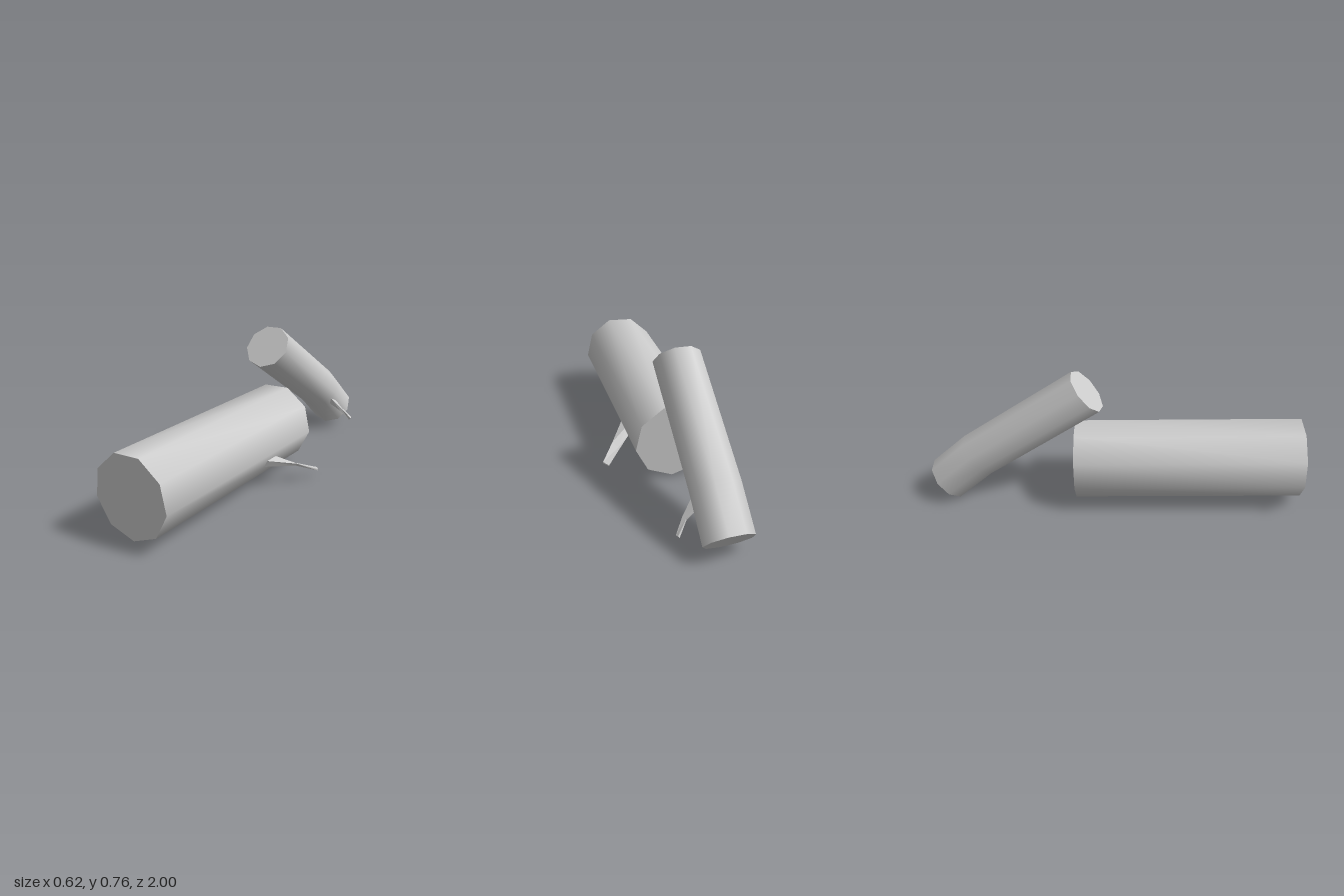
import * as THREE from 'three';

const V = (x, y, z) => new THREE.Vector3(x, y, z);

// Nine-sided rings along a path, all square to the given facing direction
function logRings(centres, facing, radius) {
  const n = facing.clone().normalize();
  const right = V(0, 1, 0).cross(n).normalize();
  const up = n.clone().cross(right);
  return centres.map((c) => Array.from({ length: 9 }, (_, i) => {
    const a = THREE.MathUtils.degToRad(73 - i * 40);
    return c.clone()
      .addScaledVector(right, radius * Math.cos(a))
      .addScaledVector(up, radius * Math.sin(a));
  }));
}

// Skins a list of rings; sides and end caps keep separate vertices
function loft(rings) {
  const n = rings[0].length;
  const last = rings.length - 1;
  const points = rings.flat();
  const index = [];
  for (let r = 0; r < last; r++) {
    for (let i = 0; i < n; i++) {
      const a = r * n + i, b = r * n + (i + 1) % n;
      index.push(a, b, b + n, a, b + n, a + n);
    }
  }
  const start = points.length;
  points.push(...rings[0], ...rings[last]);
  for (let i = 1; i < n - 1; i++) {
    index.push(start, start + i + 1, start + i);
    index.push(start + n, start + n + i, start + n + i + 1);
  }
  const geometry = new THREE.BufferGeometry().setFromPoints(points);
  geometry.setIndex(index);
  geometry.computeVertexNormals();
  return geometry;
}

function addPart(group, name, rings, flatShading) {
  const material = new THREE.MeshStandardMaterial({ color: 0xcccccc, flatShading });
  if (flatShading) material.side = THREE.DoubleSide;
  const mesh = new THREE.Mesh(loft(rings), material);
  mesh.name = name;
  group.add(mesh);
}

export function createModel() {
  const model = new THREE.Group();
  model.name = 'logs';

  // Thick straight log lying on the ground
  addPart(model, 'largeLog', logRings(
    [V(-0.106, 0.25, 0.985), V(-0.033, 0.222, -0.215)],
    V(-0.073, 0.028, 1.2), 0.212), false);

  // Thinner log, raised at the front and bent near its lower end
  addPart(model, 'smallLog', logRings(
    [V(-0.063, 0.667, -0.15), V(-0.03, 0.262, -0.735), V(-0.02, 0.096, -0.92)],
    V(-0.01, 0.16, 0.185), 0.125), false);

  // Tapered, bent twig stubs
  addPart(model, 'largeLogTwig', [
    [V(0.13, 0.163, 0.19), V(0.11, 0.125, 0.19), V(0.11, 0.125, 0.1), V(0.13, 0.163, 0.11)],
    [V(0.23, 0.115, 0.05), V(0.225, 0.1, 0.045), V(0.205, 0.085, 0.01), V(0.205, 0.1, 0.015)],
    [V(0.312, 0.063, -0.045), V(0.312, 0.055, -0.045), V(0.29, 0.052, -0.078), V(0.29, 0.057, -0.078)],
  ], true);
  addPart(model, 'smallLogTwig', [
    [V(0.075, 0.217, -0.705), V(0.065, 0.18, -0.71), V(0.065, 0.175, -0.75), V(0.075, 0.2, -0.755)],
    [V(0.133, 0.148, -0.738), V(0.126, 0.135, -0.735), V(0.12, 0.132, -0.755), V(0.125, 0.146, -0.76)],
    [V(0.181, 0.08, -0.778), V(0.17, 0.068, -0.778), V(0.168, 0.072, -0.794), V(0.176, 0.083, -0.794)],
  ], true);

  return model;
}
